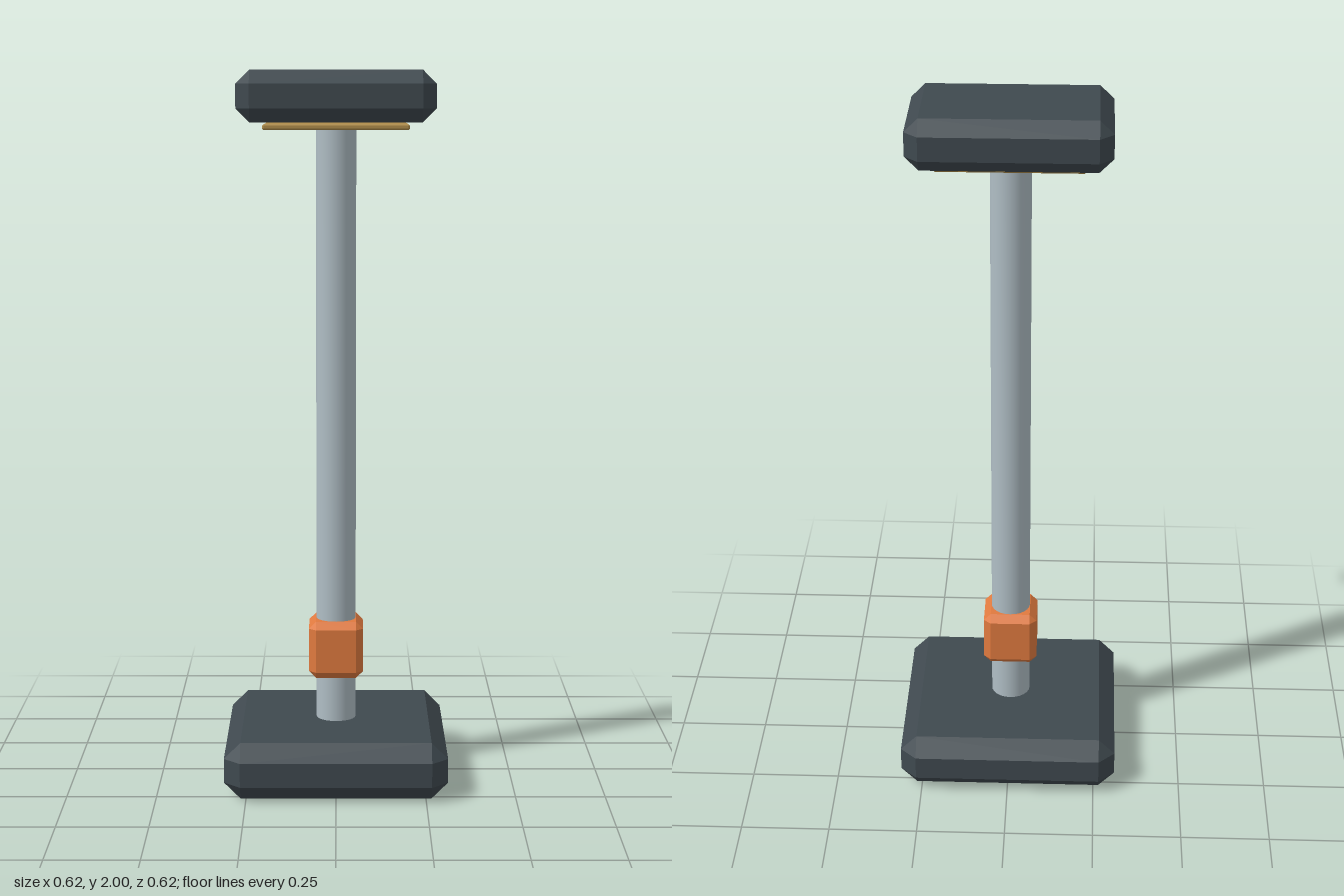
import * as THREE from 'three';
import { ConvexGeometry } from 'three/addons/geometries/ConvexGeometry.js';

// Box with every edge and corner cut flat by the bevel b
function chamferBox(w, h, d, b) {
  const points = [];
  for (const sx of [-1, 1]) for (const sy of [-1, 1]) for (const sz of [-1, 1]) {
    for (let axis = 0; axis < 3; axis++) {
      const inset = [b, b, b];
      inset[axis] = 0;
      points.push(new THREE.Vector3(
        sx * (w / 2 - inset[0]), sy * (h / 2 - inset[1]), sz * (d / 2 - inset[2])));
    }
  }
  return new ConvexGeometry(points);
}

export function createModel() {
  const model = new THREE.Group();
  model.name = 'post';

  const dark = new THREE.MeshStandardMaterial({ color: 0x3f494f });
  const steel = new THREE.MeshStandardMaterial({ color: 0xb0bec5 });
  const orange = new THREE.MeshStandardMaterial({ color: 0xe07a3f });
  const tan = new THREE.MeshStandardMaterial({ color: 0xb08d4a });

  function add(name, geometry, material, y, z = 0) {
    const mesh = new THREE.Mesh(geometry, material);
    mesh.name = name;
    mesh.position.set(0, y, z);
    model.add(mesh);
  }

  // Square foot
  add('base', chamferBox(0.622, 0.16, 0.622, 0.046), dark, 0.08);

  // Round pole from the foot to the plate
  add('pole', new THREE.CylinderGeometry(0.056, 0.056, 1.7, 24), steel, 0.995);

  // Clamp around the lower pole
  add('collar', chamferBox(0.154, 0.164, 0.154, 0.02), orange, 0.37);

  // Thin plate under the head, set towards the front
  add('mountingPlate', chamferBox(0.4, 0.016, 0.24, 0.004), tan, 1.846, 0.021);

  // Head block
  add('head', chamferBox(0.544, 0.142, 0.356, 0.038), dark, 1.929);

  return model;
}
